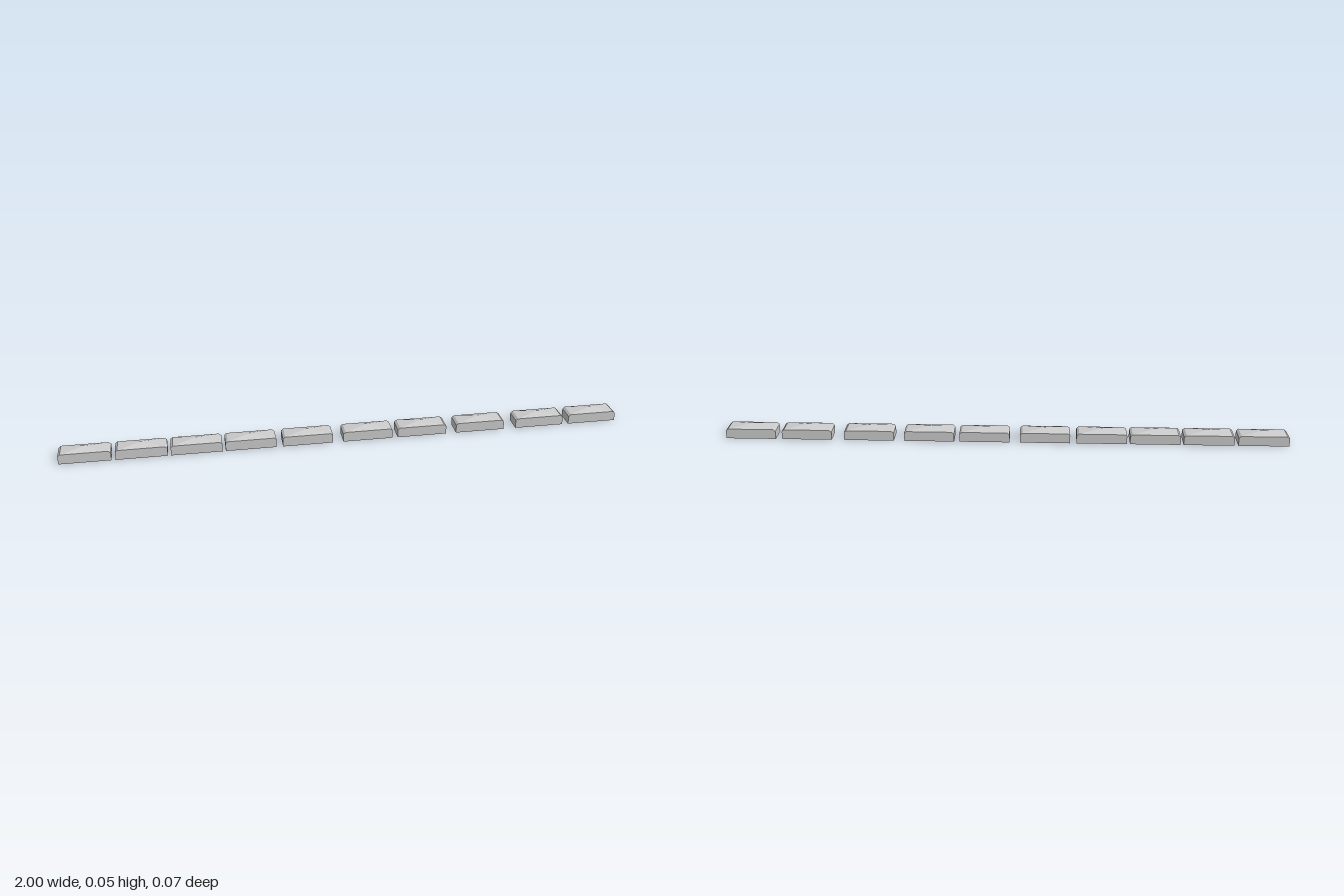
import * as THREE from 'three';
import { ConvexGeometry } from 'three/addons/geometries/ConvexGeometry.js';

const HALF_DEPTH = 0.033;

// Block: upright sides, ends chamfered at the top, shallow four-sided crown
function blockGeometry() {
  const levels = [[0.089, 0], [0.089, 0.029], [0.081, 0.036]]; // half length, height
  const points = [new THREE.Vector3(0, 0.047, 0)];
  for (const [halfLength, y] of levels)
    for (const sx of [-1, 1])
      for (const sz of [-1, 1])
        points.push(new THREE.Vector3(sx * halfLength, y, sz * HALF_DEPTH));
  return new ConvexGeometry(points);
}

export function createModel() {
  const model = new THREE.Group();
  model.name = 'blockRow';
  const material = new THREE.MeshStandardMaterial({ color: 0xcccccc, flatShading: true });
  const geometry = blockGeometry();

  // Unevenly spaced row
  const centres = [-0.911, -0.719, -0.53, -0.341, -0.14, 0.075, 0.272, 0.487, 0.71, 0.911];
  centres.forEach((x, i) => {
    const block = new THREE.Mesh(geometry, material);
    block.name = `block${i + 1}`;
    block.position.x = x;
    model.add(block);
  });
  return model;
}
